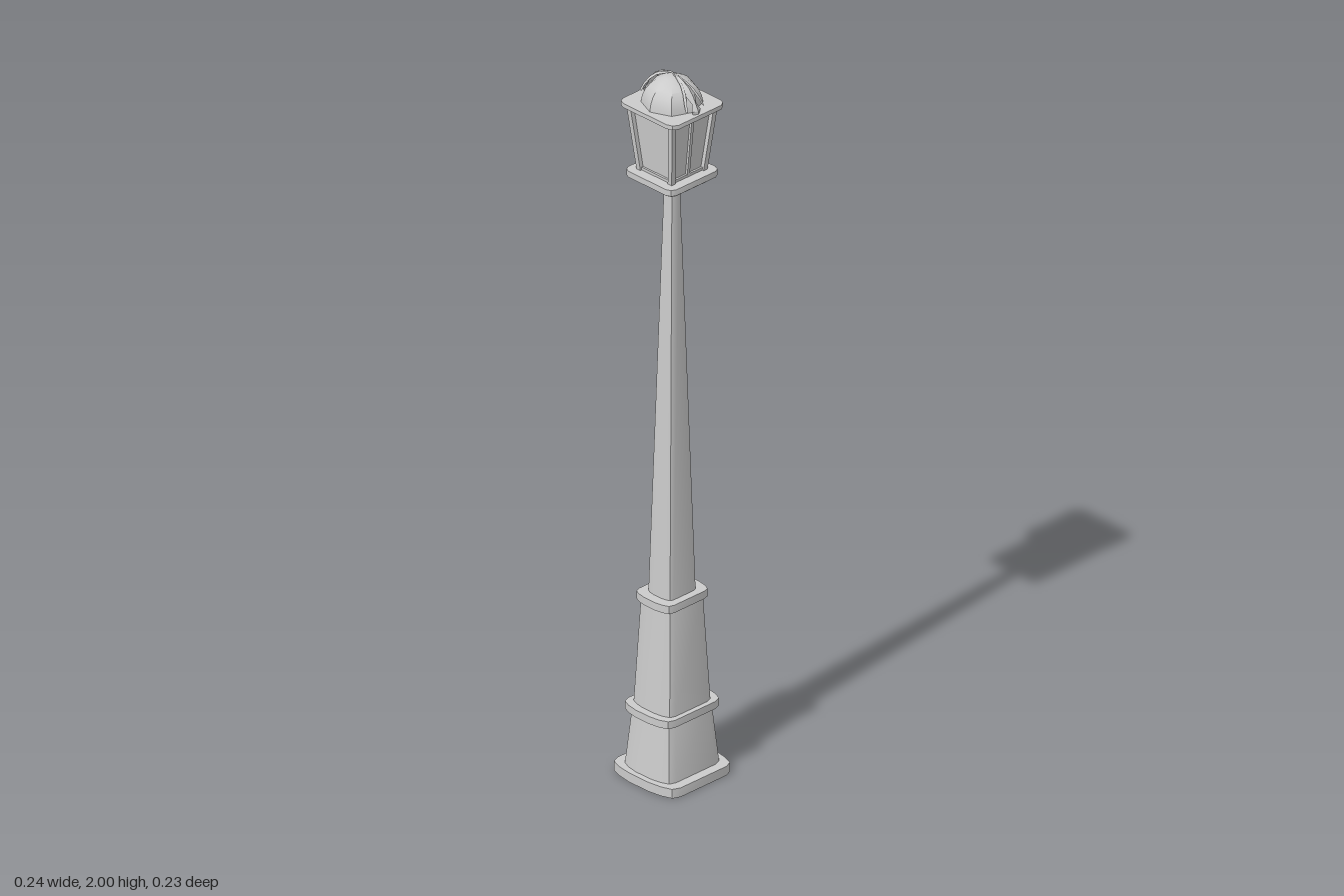
import * as THREE from 'three';
import { toCreasedNormals } from 'three/addons/utils/BufferGeometryUtils.js';

const grey = new THREE.MeshStandardMaterial({ color: 0xcccccc });
const greyThin = new THREE.MeshStandardMaterial({ color: 0xcccccc, side: THREE.DoubleSide });

// One quarter of each unit cross-section, from +x round to the other axis
const BULGED = [[1, 0.3], [0.95, 0.66], [0.86, 0.92], [0.68, 1]];
const ROUNDED = [[1, 0.77], [0.94, 0.92], [0.8, 1]];
const SQUARE = [[1, 1]];

function fullSection(quarter) {
  const flip = [...quarter].reverse();
  return [
    ...quarter,
    ...flip.map(([x, z]) => [-x, z]),
    ...quarter.map(([x, z]) => [-x, -z]),
    ...flip.map(([x, z]) => [x, -z]),
  ];
}

// Capped solid through levels of [y, half width, half depth]
function loft(name, quarter, levels) {
  const sec = fullSection(quarter), n = sec.length;
  const pos = [], idx = [];
  for (const [y, hx, hz] of levels)
    for (const [x, z] of sec) pos.push(x * hx, y, -z * hz);
  for (let k = 0; k < levels.length - 1; k++)
    for (let i = 0; i < n; i++) {
      const a = k * n + i, b = k * n + (i + 1) % n;
      idx.push(a, b, b + n, a, b + n, a + n);
    }
  const last = (levels.length - 1) * n, c = levels.length * n;
  pos.push(0, levels[0][0], 0, 0, levels[levels.length - 1][0], 0);
  for (let i = 0; i < n; i++) {
    const j = (i + 1) % n;
    idx.push(c, j, i, c + 1, last + i, last + j);
  }
  const g = new THREE.BufferGeometry();
  g.setAttribute('position', new THREE.Float32BufferAttribute(pos, 3));
  g.setIndex(idx);
  const mesh = new THREE.Mesh(toCreasedNormals(g, 0.6), grey);
  mesh.name = name;
  return mesh;
}

// Upright bar whose ends stay level while it leans from a to b
function leaningBar(name, a, b, w, d) {
  const g = new THREE.BoxGeometry(w, 1, d), p = g.attributes.position;
  for (let i = 0; i < p.count; i++) {
    const t = p.getY(i) + 0.5;
    p.setXYZ(i, p.getX(i) + a[0] + (b[0] - a[0]) * t, a[1] + (b[1] - a[1]) * t,
      p.getZ(i) + a[2] + (b[2] - a[2]) * t);
  }
  g.computeVertexNormals();
  const mesh = new THREE.Mesh(g, grey);
  mesh.name = name;
  return mesh;
}

const DOME_Y = 1.91, DOME_R = 0.078, DOME_H = 0.076;

// Ridged leaf lying on the dome; rows of [angle up the dome, centre x, half width, lift]
function leaf(name, rows) {
  const pos = [], idx = [];
  rows.forEach(([angle, cx, w, lift], k) => {
    [-1, 0, 1].forEach((s) => {
      const x = cx + s * w, up = lift + (s === 0 ? 0.006 : 0);
      const r = DOME_R * Math.cos(angle);
      pos.push(x, DOME_Y + DOME_H * Math.sin(angle) + up * Math.sin(angle),
        Math.sqrt(Math.max(r * r - x * x, 0)) + up * Math.cos(angle));
    });
    if (k) for (let i = 0; i < 2; i++) {
      const a = (k - 1) * 3 + i;
      idx.push(a, a + 1, a + 4, a, a + 4, a + 3);
    }
  });
  const g = new THREE.BufferGeometry();
  g.setAttribute('position', new THREE.Float32BufferAttribute(pos, 3));
  g.setIndex(idx);
  const mesh = new THREE.Mesh(toCreasedNormals(g, 0.4), greyThin);
  mesh.name = name;
  return mesh;
}

export function createModel() {
  const model = new THREE.Group();
  model.name = 'streetLamp';

  // Stepped pedestal and tapering shaft
  model.add(
    loft('basePlate', BULGED, [[0, 0.118, 0.113], [0.026, 0.118, 0.113]]),
    loft('lowerPedestal', BULGED, [[0.026, 0.102, 0.086], [0.186, 0.087, 0.072]]),
    loft('lowerBand', BULGED, [[0.183, 0.104, 0.084], [0.204, 0.104, 0.084]]),
    loft('upperPedestal', BULGED, [[0.204, 0.083, 0.07], [0.496, 0.067, 0.057]]),
    loft('upperBand', BULGED, [[0.496, 0.079, 0.063], [0.518, 0.079, 0.063]]),
    loft('shaft', BULGED, [[0.518, 0.052, 0.042], [1.69, 0.016, 0.015]]),
  );

  const lantern = new THREE.Group();
  lantern.name = 'lantern';
  model.add(lantern);

  // Lantern floor, glass and lid
  lantern.add(
    loft('lanternFoot', ROUNDED, [[1.688, 0.067, 0.067], [1.703, 0.067, 0.067]]),
    loft('lanternFloor', ROUNDED, [[1.703, 0.087, 0.086], [1.72, 0.087, 0.086]]),
    loft('glass', SQUARE, [[1.72, 0.052, 0.052], [1.9, 0.068, 0.07]]),
    loft('lanternLid', ROUNDED, [[1.9, 0.094, 0.1], [1.912, 0.094, 0.1]]),
  );

  // Corner posts, front and back mullions
  for (const sz of [1, -1]) {
    for (const sx of [1, -1])
      lantern.add(leaningBar('cornerPost', [sx * 0.056, 1.72, sz * 0.056],
        [sx * 0.073, 1.9, sz * 0.075], 0.014, 0.014));
    lantern.add(leaningBar('mullion', [0, 1.72, sz * 0.054], [0, 1.9, sz * 0.072], 0.009, 0.009));
  }

  // Slim rails around the top and bottom of the glass
  lantern.add(
    loft('bottomRail', SQUARE, [[1.72, 0.058, 0.058], [1.728, 0.0585, 0.0585]]),
    loft('topRail', SQUARE, [[1.89, 0.073, 0.075], [1.9, 0.074, 0.076]]),
  );

  // Eight-sided dome
  const profile = [];
  for (let i = 0; i <= 6; i++) {
    const a = (i / 6) * Math.PI / 2;
    profile.push(new THREE.Vector2(i === 6 ? 0 : DOME_R * Math.cos(a), DOME_Y + DOME_H * Math.sin(a)));
  }
  const dome = new THREE.Mesh(toCreasedNormals(new THREE.LatheGeometry(profile, 8), 0.6), grey);
  dome.name = 'dome';
  lantern.add(dome);

  // Leaf ornament on the front and back of the dome
  for (const turn of [0, Math.PI]) {
    const ornament = new THREE.Group();
    ornament.name = turn ? 'backOrnament' : 'frontOrnament';
    ornament.rotation.y = turn;
    ornament.add(leaf('centreLeaf', [
      [0, 0, 0.011, 0.01], [0.12, 0, 0.015, 0.011], [0.35, 0, 0.007, 0.006],
      [0.6, 0, 0.015, 0.005], [0.85, 0, 0.012, 0.005], [1.15, 0, 0.006, 0.005],
      [Math.PI / 2, 0, 0.001, 0.008],
    ]));
    for (const s of [1, -1])
      ornament.add(leaf('sideFrond', [
        [0.15, s * 0.029, 0.001, 0.009], [0.4, s * 0.024, 0.003, 0.005],
        [0.7, s * 0.016, 0.004, 0.004], [1.0, s * 0.009, 0.003, 0.004],
        [1.35, s * 0.003, 0.001, 0.004],
      ]));
    lantern.add(ornament);
  }

  return model;
}
